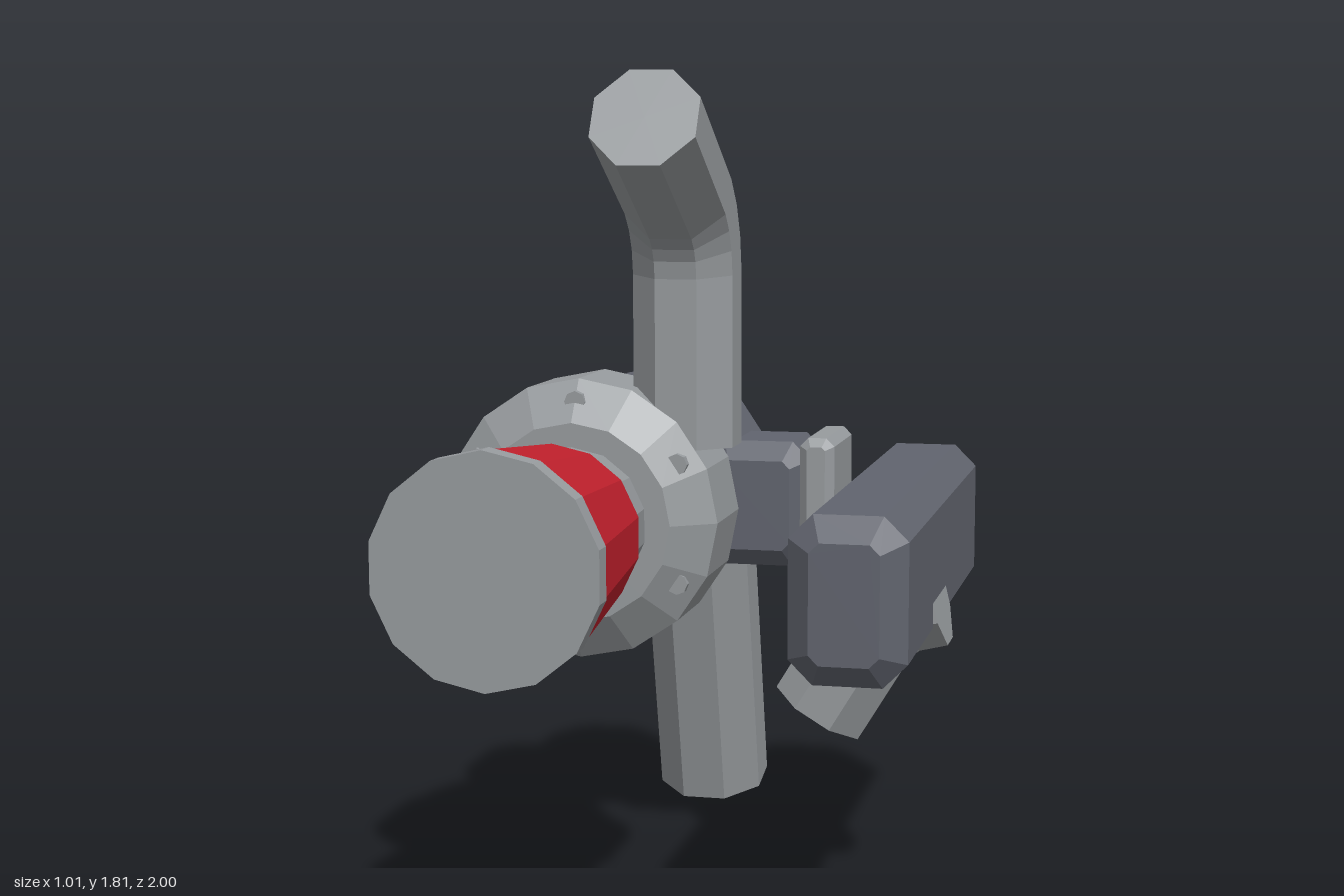
import * as THREE from 'three';

const mat = (name, color) => {
  const m = new THREE.MeshStandardMaterial({ color });
  m.name = name;
  return m;
};

// Faceted copy: every face keeps its own normal
function faceted(geo) {
  const g = geo.index ? geo.toNonIndexed() : geo;
  g.computeVertexNormals();
  return g;
}

// Turned part along z from [z, radius] pairs, back to front
function turned(profile, sides) {
  const pts = profile.map(([z, r]) => new THREE.Vector2(r, z));
  return faceted(new THREE.LatheGeometry(pts, sides).rotateX(Math.PI / 2));
}

// Octagonal bar swept along a planar path; side is the normal of its plane
function pipe(path, side, apothem) {
  const pts = path.map(p => new THREE.Vector3(...p));
  const B = new THREE.Vector3(...side);
  const n = 8, r = apothem / Math.cos(Math.PI / n), last = pts.length - 1;
  const dirs = pts.slice(1).map((p, i) => p.clone().sub(pts[i]).normalize());
  const rings = pts.map((p, i) => {
    const d0 = dirs[Math.max(i - 1, 0)], d1 = dirs[Math.min(i, last - 1)];
    const T = d0.clone().add(d1).normalize();
    const N = T.clone().cross(B).divideScalar(T.dot(d1));
    return Array.from({ length: n }, (_, j) => {
      const a = (j + 0.5) / n * Math.PI * 2;
      return p.clone().addScaledVector(B, r * Math.cos(a)).addScaledVector(N, r * Math.sin(a));
    });
  });
  const tri = [];
  for (let j = 0; j < n; j++) {
    const k = (j + 1) % n;
    for (let i = 0; i < last; i++) {
      const [a, b, c, d] = [rings[i][j], rings[i][k], rings[i + 1][k], rings[i + 1][j]];
      tri.push(a, b, c, a, c, d);
    }
    tri.push(pts[0], rings[0][k], rings[0][j], pts[last], rings[last][j], rings[last][k]);
  }
  return faceted(new THREE.BufferGeometry().setFromPoints(tri));
}

// Box with all edges cut at 45 degrees, given by its bounds
function chamferedBox([x0, x1], [y0, y1], [z0, z1], c) {
  const s = new THREE.Shape([
    [x0 + c, y0], [x1 - c, y0], [x1, y0 + c], [x1, y1 - c],
    [x1 - c, y1], [x0 + c, y1], [x0, y1 - c], [x0, y0 + c],
  ].map(p => new THREE.Vector2(...p)));
  const g = new THREE.ExtrudeGeometry(s, {
    depth: z1 - z0 - 2 * c, bevelEnabled: true, bevelSegments: 1,
    bevelThickness: c, bevelSize: c, bevelOffset: -c,
  });
  return faceted(g.translate(0, 0, z0 + c));
}

export function createModel() {
  const root = new THREE.Group();
  root.name = 'model';
  const light = mat('lightMetal', 0x979b9e);
  const dark = mat('darkMetal', 0x61646e);
  const red = mat('redCone', 0xc1202c);
  const black = mat('shaftMetal', 0x2c363c);
  const AX = -0.215, AY = 0.907;
  const add = (name, geo, material, parent = root) => {
    const m = new THREE.Mesh(geo, material);
    m.name = name;
    parent.add(m);
    return m;
  };

  // Parts turned about the main axis
  const core = new THREE.Group();
  core.name = 'mainAxis';
  core.position.set(AX, AY, 0);
  root.add(core);
  add('rearHousing', turned([[-0.48, 0], [-0.48, 0.14], [-0.375, 0.247], [-0.18, 0.247], [-0.14, 0.2], [-0.14, 0]], 16), dark, core);
  add('shaft', turned([[-0.16, 0.132], [0.13, 0.132]], 12), black, core);
  add('frontHousing', turned([[0.105, 0], [0.105, 0.18], [0.17, 0.29], [0.37, 0.29], [0.43, 0.205], [0.43, 0]], 16), light, core);
  add('neck', turned([[0.42, 0.155], [0.575, 0.167]], 14), light, core);
  add('intakeCone', turned([[0.565, 0], [0.565, 0.18], [0.957, 0.219]], 14), red, core);
  add('intakeRim', turned([[0.955, 0], [0.955, 0.223], [1, 0.223], [1, 0]], 14), light, core);

  // Six bolts on the front chamfer
  for (let i = 0; i < 6; i++) {
    const a = Math.PI / 2 + i * Math.PI / 3;
    const bolt = add('bolt', faceted(new THREE.CylinderGeometry(0.022, 0.022, 0.06, 8).rotateX(Math.PI / 2)), light, core);
    bolt.position.set(0.245 * Math.cos(a), 0.245 * Math.sin(a), 0.373);
  }

  // Bent pipes
  add('rearPipe', pipe([
    [AX, AY, -0.46], [AX, AY, -0.57], [AX, 0.888, -0.632], [AX, 0.853, -0.665],
    [AX, 0.81, -0.682], [AX, 0.035, -0.875],
  ], [1, 0, 0], 0.129), light);
  add('upperPipe', pipe([
    [-0.012, 1.055, 0.265], [-0.012, 1.41, 0.265], [-0.012, 1.47, 0.276], [-0.012, 1.522, 0.303],
    [-0.012, 1.565, 0.345], [-0.012, 1.72, 0.61],
  ], [1, 0, 0], 0.104), light);
  add('lowerArm', pipe([
    [0.223, 0.442, 0], [0.347, 0.648, 0], [0.4, 0.688, 0], [0.482, 0.708, 0],
  ], [0, 0, 1], 0.105), light);

  // Side bracket, plate and long box
  add('sideBracket', chamferedBox([-0.06, 0.175], [0.735, 1.015], [-0.335, -0.08], 0.04), dark);
  add('sidePlate', chamferedBox([0.17, 0.246], [0.69, 1.037], [-0.265, -0.005], 0.018), light);
  add('longBox', chamferedBox([0.24, 0.482], [0.605, 0.95], [-0.7, 0.52], 0.05), dark);

  return root;
}
